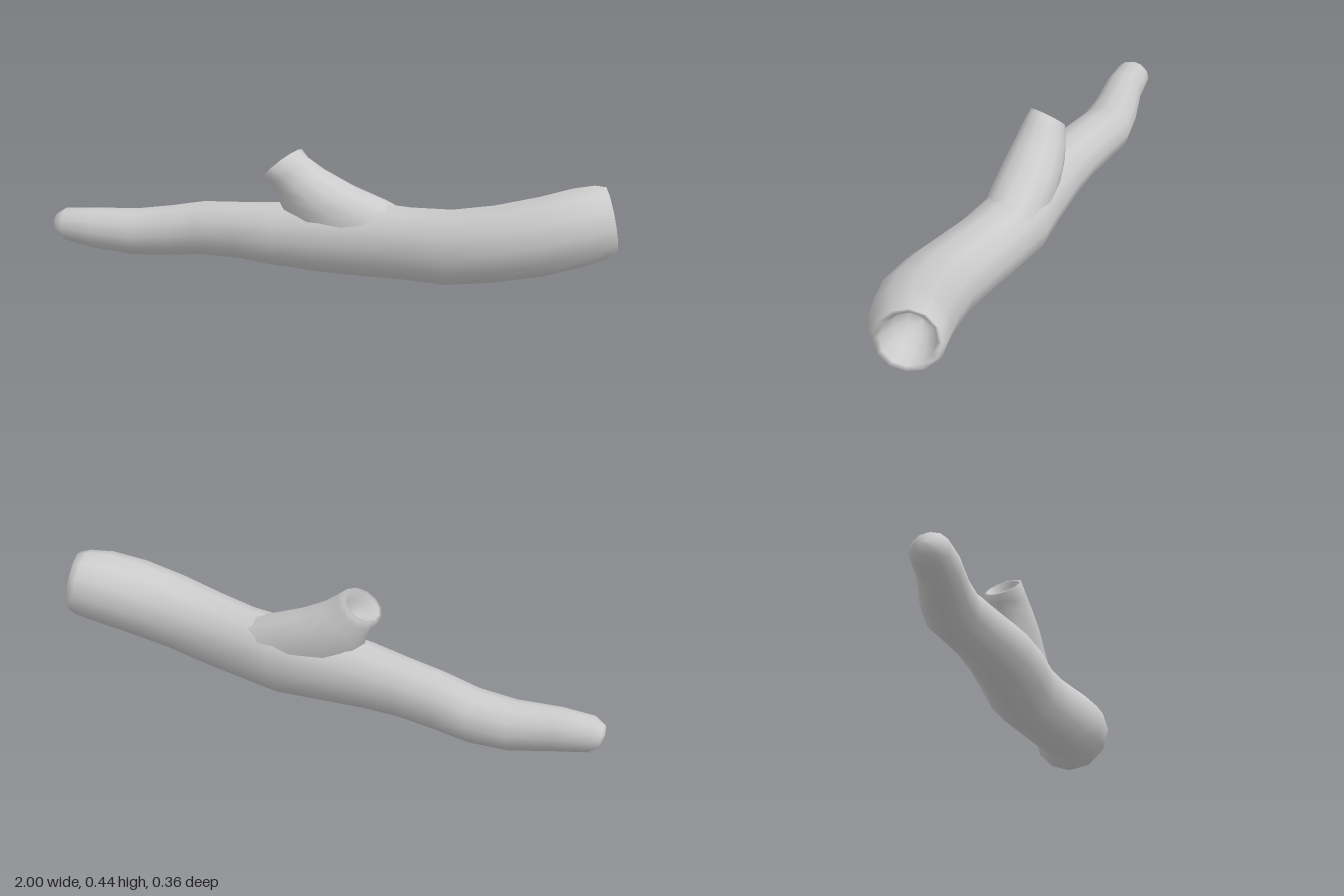
import * as THREE from 'three';

const SIDES = 12;

// Lofts rings given as [lowX, lowY, highX, highY, zMin, zMax, skew];
// skew shifts the ring in x across its width so that its plane tilts.
function loft(name, sections, material) {
  const positions = [], index = [];
  sections.forEach(([lx, ly, hx, hy, z0, z1, skew = 0], i) => {
    for (let j = 0; j < SIDES; j++) {
      const a = (j / SIDES) * Math.PI * 2, c = Math.cos(a), s = Math.sin(a);
      positions.push(
        (lx + hx) / 2 + c * (hx - lx) / 2 + s * skew,
        (ly + hy) / 2 + c * (hy - ly) / 2,
        (z0 + z1) / 2 + s * (z1 - z0) / 2
      );
      if (i === sections.length - 1) continue;
      const p = i * SIDES + j, q = i * SIDES + (j + 1) % SIDES;
      index.push(p, q, p + SIDES, q, q + SIDES, p + SIDES);
    }
  });
  const geometry = new THREE.BufferGeometry();
  geometry.setAttribute('position', new THREE.Float32BufferAttribute(positions, 3));
  geometry.setIndex(index);
  geometry.computeVertexNormals();
  const mesh = new THREE.Mesh(geometry, material);
  mesh.name = name;
  return mesh;
}

// Upright ring at one x
const ring = (x, y0, y1, z0, z1, skew = 0) => [x, y0, x, y1, z0, z1, skew];

export function createModel() {
  const group = new THREE.Group();
  group.name = 'branch';
  const wood = new THREE.MeshStandardMaterial({ color: 0xcccccc, side: THREE.DoubleSide });

  // Main limb: closed thin end, winding body, hollow thick end
  group.add(loft('mainLimb', [
    ring(-1, 0.105, 0.105, -0.06, -0.06),
    ring(-0.995, 0.07, 0.14, -0.1, -0.02),
    ring(-0.96, 0.045, 0.162, -0.125, 0.003),
    ring(-0.85, 0.022, 0.17, -0.132, 0.01),
    ring(-0.7, 0.002, 0.172, -0.165, 0.004),
    ring(-0.57, 0.008, 0.19, -0.184, 0.002),
    ring(-0.45, 0.022, 0.216, -0.175, 0.015),
    ring(-0.3, 0.028, 0.23, -0.155, 0.045),
    ring(-0.17, 0.02, 0.245, -0.146, 0.075),
    ring(0, 0.01, 0.265, -0.145, 0.09),
    ring(0.15, 0.006, 0.27, -0.148, 0.095),
    ring(0.3, 0.015, 0.268, -0.12, 0.122),
    ring(0.45, 0.02, 0.28, -0.09, 0.16),
    ring(0.6, 0.045, 0.31, -0.08, 0.18),
    [0.77, 0.08, 0.74, 0.345, -0.097, 0.177, 0.01],
    [0.9, 0.115, 0.85, 0.373, -0.122, 0.142, 0.02],
    [0.965, 0.14, 0.92, 0.38, -0.137, 0.1, 0.025],
    [0.992, 0.16, 0.952, 0.374, -0.13, 0.072, 0.026],
    // inside of the hollow
    [0.985, 0.178, 0.948, 0.357, -0.113, 0.055, 0.024],
    [0.93, 0.195, 0.9, 0.34, -0.098, 0.04, 0.015],
    [0.885, 0.225, 0.87, 0.31, -0.07, 0.012, 0.008],
    [0.865, 0.267, 0.865, 0.267, -0.03, -0.03],
  ], wood));

  // Broken side twig, flaring into the limb
  group.add(loft('sideTwig', [
    [0.33, 0.23, -0.06, 0.1, -0.125, 0.08],
    [0.23, 0.272, -0.12, 0.18, -0.132, 0.075],
    [0.11, 0.315, -0.155, 0.245, -0.127, 0.07],
    [0, 0.37, -0.165, 0.285, -0.115, 0.058],
    [-0.055, 0.41, -0.185, 0.31, -0.1, 0.048],
    [-0.09, 0.438, -0.2, 0.335, -0.098, 0.04, -0.022],
    // inside of the hollow
    [-0.102, 0.427, -0.19, 0.345, -0.085, 0.027, -0.018],
    [-0.09, 0.395, -0.155, 0.332, -0.075, 0.018, -0.008],
    [-0.09, 0.335, -0.09, 0.335, -0.03, -0.03],
  ], wood));

  return group;
}
